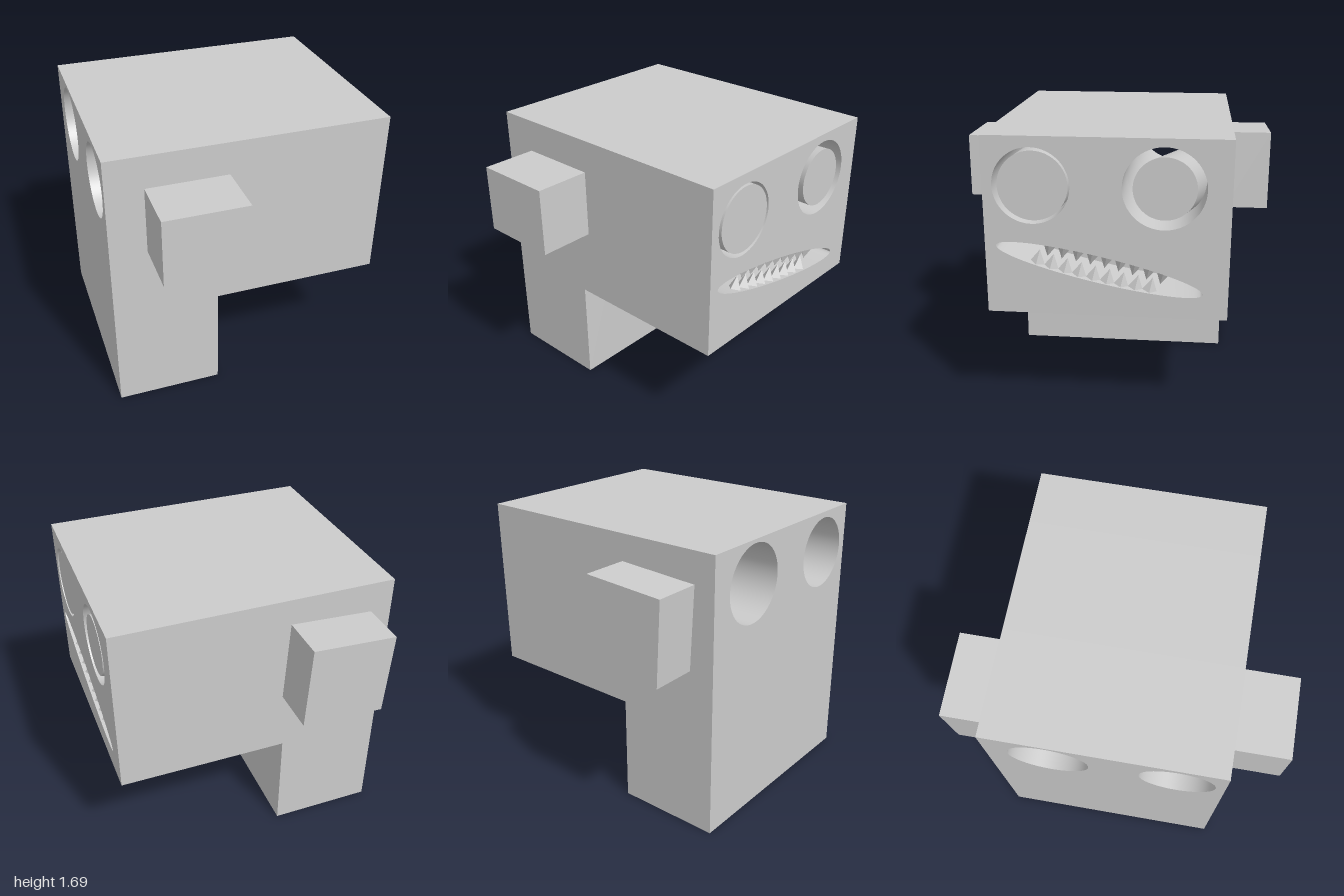
import * as THREE from 'three';
import { toCreasedNormals } from 'three/addons/utils/BufferGeometryUtils.js';

const grey = new THREE.MeshStandardMaterial({ color: 0xcccccc });
const TILT = -0.218; // slope of the crooked mouth
const MOUTH = { z: 0.01, y: 0.93, a: 0.6, b: 0.079 };
// eye sockets, with the rod inside each and how far the rod drifts towards its back end
const EYES = [
  { name: 'leftEye', z: 0.387, y: 1.41, r: 0.218, rodZ: 0.378, rodR: 0.198, dy: -0.02, dz: -0.03 },
  { name: 'rightEye', z: -0.351, y: 1.41, r: 0.233, rodZ: -0.354, rodR: 0.177, dy: -0.07, dz: -0.13 },
];

function add(parent, name, geometry, x = 0, y = 0, z = 0) {
  const mesh = new THREE.Mesh(geometry, grey);
  mesh.name = name;
  mesh.position.set(x, y, z);
  parent.add(mesh);
  return mesh;
}

// Slab of the head from x0 to x1, pierced by the eye sockets and optionally the mouth
function slab(x0, x1, bottom, withMouth) {
  const shape = new THREE.Shape();
  shape.moveTo(-0.66, bottom).lineTo(0.72, bottom).lineTo(0.72, 1.69).lineTo(-0.66, 1.69).closePath();
  for (const e of EYES) {
    shape.holes.push(new THREE.Path().absarc(-e.z, e.y, e.r, 0, Math.PI * 2, true));
  }
  if (withMouth) {
    shape.holes.push(new THREE.Path().absellipse(-MOUTH.z, MOUTH.y, MOUTH.a, MOUTH.b, 0, Math.PI * 2, true, TILT));
  }
  const g = new THREE.ExtrudeGeometry(shape, { depth: x1 - x0, bevelEnabled: false, curveSegments: 32 });
  g.rotateY(Math.PI / 2).translate(x0, 0, 0);
  const p = g.attributes.position;
  for (let i = 0; i < p.count; i++) {
    const x = p.getX(i), y = p.getY(i);
    // sockets climb slightly towards the back; the face leans slightly forward
    if (y > 1.1 && y < 1.68) p.setY(i, y + (0.83 - x) * 0.015);
    if (x > 0.8) p.setX(i, x - (1.69 - y) * 0.01);
  }
  return toCreasedNormals(g, 0.6);
}

export function createModel() {
  const model = new THREE.Group();
  model.name = 'blockHead';

  // Head and neck
  add(model, 'neckAndHeadBack', slab(-0.84, -0.2, 0, false));
  add(model, 'headMiddle', slab(-0.2, 0.5, 0.65, false));
  add(model, 'face', slab(0.5, 0.84, 0.65, true));

  // Ears, the far one larger and slightly turned
  add(model, 'leftEar', new THREE.BoxGeometry(0.49, 0.41, 0.34), -0.375, 1.285, 0.83);
  add(model, 'rightEar', new THREE.BoxGeometry(0.505, 0.505, 0.28), -0.445, 1.265, -0.86).rotation.z = 0.05;

  // Slanted eye rods with flat ends level with the face
  const length = 0.6;
  for (const e of EYES) {
    const g = new THREE.CylinderGeometry(e.rodR, e.rodR, length, 48);
    g.rotateZ(-Math.PI / 2).translate(-length / 2, 0, 0);
    const ky = -e.dy / length, kz = -e.dz / length;
    g.applyMatrix4(new THREE.Matrix4().set(1, 0, 0, 0, ky, 1, 0, 0, kz, 0, 1, 0, 0, 0, 0, 1));
    add(model, e.name, g, 0.833, e.y, e.rodZ);
  }

  // Two rows of pointed teeth following the lips
  const mouth = new THREE.Group();
  mouth.name = 'teeth';
  mouth.position.set(0.78, MOUTH.y, MOUTH.z);
  mouth.rotation.x = TILT;
  model.add(mouth);
  const height = 0.085;
  const tooth = new THREE.ConeGeometry(0.045, height, 4).toNonIndexed();
  tooth.computeVertexNormals();
  for (const side of [1, -1]) {
    for (let i = 0; i < 9; i++) {
      const t = (i - 4) * 0.083 + side * 0.025;
      const lip = MOUTH.b * Math.sqrt(1 - (t / MOUTH.a) ** 2);
      const m = add(mouth, side > 0 ? 'upperTooth' : 'lowerTooth', tooth, 0, side * (lip - height / 2 + 0.005), -t);
      if (side > 0) m.rotation.x = Math.PI;
    }
  }
  return model;
}
